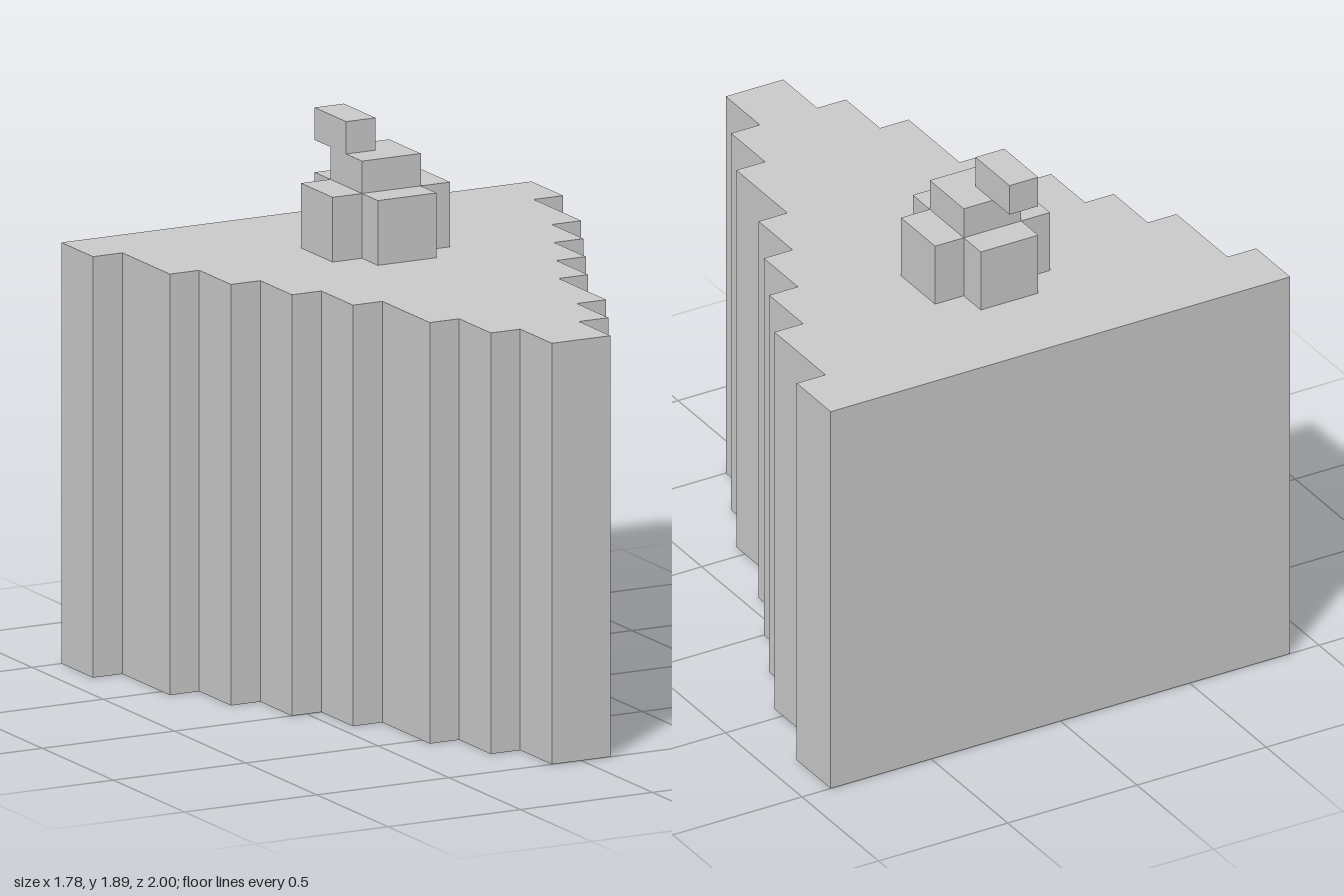
import * as THREE from 'three';

const U = 1 / 9; // one grid cell

export function createModel() {
  const group = new THREE.Group();
  const material = new THREE.MeshStandardMaterial({ color: 0xcccccc, flatShading: true });

  const add = (name, geometry) => {
    const mesh = new THREE.Mesh(geometry, material);
    mesh.name = name;
    group.add(mesh);
  };

  // Extrudes a mirrored stepped outline upward; rows are [halfWidth, zBack, zFront] in cells
  const steppedPrism = (rows, y0, y1) => {
    const right = rows.flatMap(([w, z0, z1]) => [[w, z0], [w, z1]]);
    const left = right.map(([x, z]) => [-x, z]).reverse();
    const points = [...right, ...left].map(([x, z]) => new THREE.Vector2(x * U, -z * U));
    const geometry = new THREE.ExtrudeGeometry(new THREE.Shape(points), {
      depth: (y1 - y0) * U, bevelEnabled: false,
    });
    return geometry.rotateX(-Math.PI / 2).translate(0, y0 * U, 0);
  };

  // Box from its corner limits in cells
  const block = (x0, x1, y0, y1, z0, z1) =>
    new THREE.BoxGeometry((x1 - x0) * U, (y1 - y0) * U, (z1 - z0) * U)
      .translate((x0 + x1) * U / 2, (y0 + y1) * U / 2, (z0 + z1) * U / 2);

  // Wedge body: narrows by one cell per side at each step toward the front
  const steps = [-9, -7, -4, -2, 0, 2, 5, 7, 9];
  const rows = steps.slice(0, -1).map((z, i) => [8 - i, z, steps[i + 1]]);
  add('wedgeBody', steppedPrism(rows, 0, 13));

  // Stem on top: plus-shaped base, square collar and offset tip
  add('stemBase', steppedPrism([[1, -6, -5], [2, -5, -3], [1, -3, -2]], 13, 15));
  add('stemCollar', block(-1, 1, 15, 16, -5, -3));
  add('stemTip', block(-1, 0, 16, 17, -6, -4));

  return group;
}
